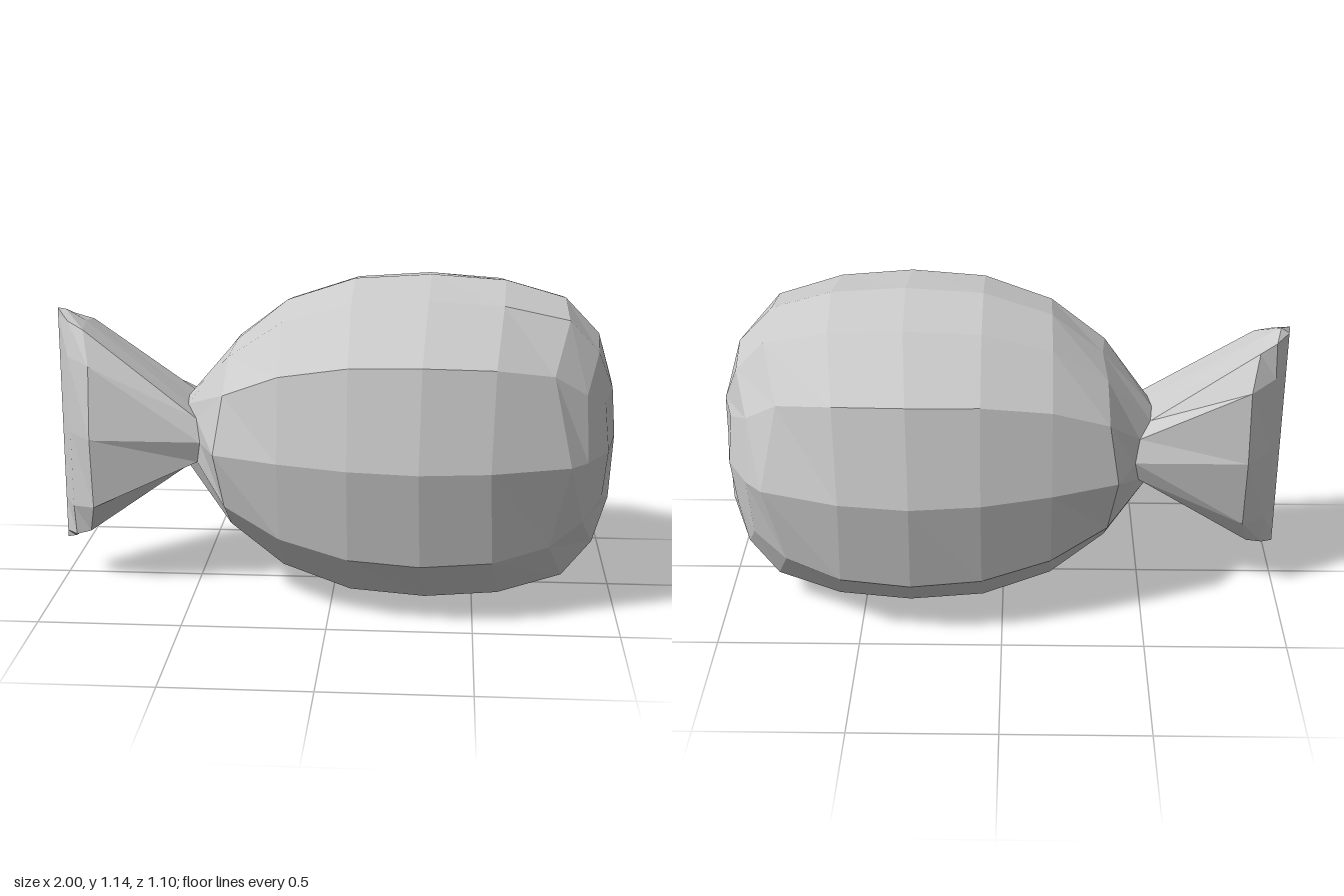
import * as THREE from 'three';

const CENTRE_Y = 0.573;

// Mirror four quarter points (top to front side) into a closed ring of twelve
function mirrorRing(q) {
  const lower = q.slice(0, 3).reverse().map(([x, y, z]) => [x, -y, z]);
  const half = [...q, ...lower];
  const back = half.slice(1, 6).reverse().map(([x, y, z]) => [x, y, -z]);
  return [...half, ...back];
}

// Faceted skin over rings ordered from -x to +x
function loft(quarters, name, material) {
  const rings = quarters.map(mirrorRing);
  const pos = [];
  const tri = (...pts) => pts.forEach(([x, y, z]) => pos.push(x, y + CENTRE_Y, z));
  for (let i = 0; i < rings.length - 1; i++) {
    for (let j = 0; j < 12; j++) {
      const k = (j + 1) % 12;
      const a = rings[i][j], b = rings[i][k], c = rings[i + 1][k], d = rings[i + 1][j];
      if (a.join() !== b.join()) tri(a, b, c);
      if (c.join() !== d.join()) tri(a, c, d);
    }
  }
  const geometry = new THREE.BufferGeometry();
  geometry.setAttribute('position', new THREE.Float32BufferAttribute(pos, 3));
  geometry.computeVertexNormals();
  const mesh = new THREE.Mesh(geometry, material);
  mesh.name = name;
  return mesh;
}

// Rounded quarter section: x and radius at the top, x and radius at the side
function section(xTop, rTop, xSide, rSide, xDiagonal = 0) {
  const shape = [[1, 0], [0.925, 0.5], [0.605, 0.873], [0, 1]];
  return shape.map(([c, s], i) => [
    xTop + (xSide - xTop) * s * s + (i === 2 ? xDiagonal : 0), c * rTop, s * rSide]);
}

export function createModel() {
  const grey = new THREE.MeshStandardMaterial({ color: 0xcccccc });
  grey.name = 'grey';
  const group = new THREE.Group();
  group.name = 'model';

  // Narrow waist shared by body and tail
  const waist = [[-0.53, 0.12, 0], [-0.52, 0.113, 0.1], [-0.48, 0.08, 0.18], [-0.465, 0, 0.21]];

  // Plump egg-shaped body with a blunt end
  const body = [
    waist,
    section(-0.35, 0.33, -0.4, 0.36, 0.02),
    section(-0.17, 0.475, -0.17, 0.452),
    section(0.07, 0.555, 0.07, 0.522),
    section(0.34, 0.572, 0.31, 0.55),
    section(0.6, 0.555, 0.55, 0.52),
    section(0.81, 0.495, 0.82, 0.43, -0.06),
    section(0.93, 0.37, 0.88, 0.365, -0.02),
    [[0.98, 0.2, 0], [0.975, 0.2, 0.11], [0.945, 0.17, 0.2], [0.96, 0, 0.22]],
    section(1, 0, 1, 0),
  ];
  group.add(loft(body, 'body', grey));

  // Fan tail, flared in height and bevelled to a thin end ridge
  const tail = [
    [[-1, 0.435, 0], [-1, 0.41, 0], [-1, 0.28, 0], [-1, 0, 0]],
    [[-0.97, 0.43, 0], [-0.95, 0.4, 0.07], [-0.95, 0.28, 0.1], [-0.95, 0, 0.105]],
    [[-0.9, 0.39, 0], [-0.89, 0.375, 0.1], [-0.86, 0.26, 0.18], [-0.86, 0, 0.21]],
    waist,
  ];
  group.add(loft(tail, 'tail', grey));

  return group;
}
